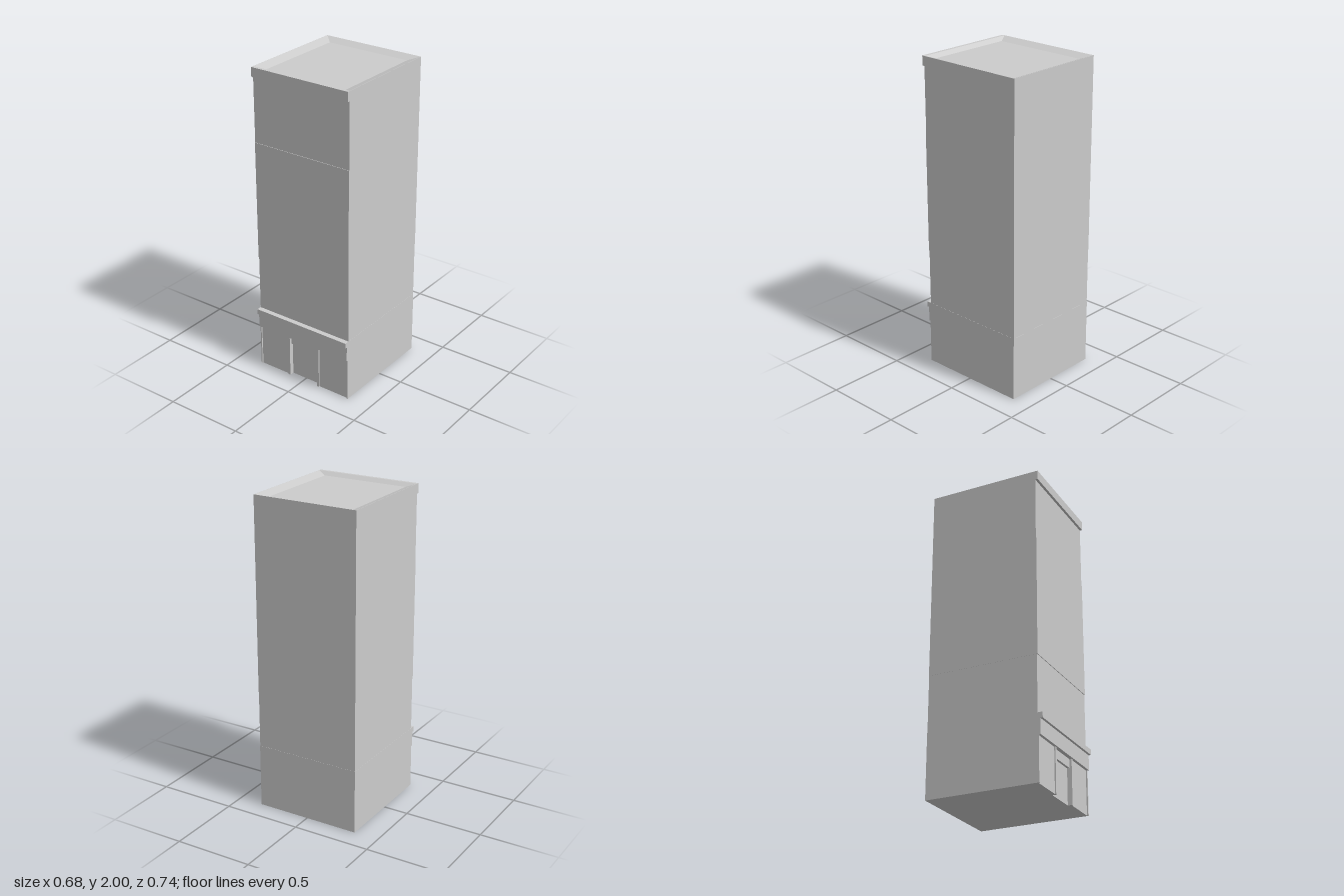
import * as THREE from 'three';

const material = new THREE.MeshStandardMaterial({ color: 0xcccccc, flatShading: true });
const W = 0.34, BACK = -0.37;

export function createModel() {
  const model = new THREE.Group();

  function add(name, geometry) {
    const mesh = new THREE.Mesh(geometry, material);
    mesh.name = name;
    model.add(mesh);
  }

  // Box given by its limits on each axis
  function block(name, x0, x1, y0, y1, z0, z1) {
    const g = new THREE.BoxGeometry(x1 - x0, y1 - y0, z1 - z0);
    g.translate((x0 + x1) / 2, (y0 + y1) / 2, (z0 + z1) / 2);
    add(name, g);
  }

  // Ground floor: plan outline with pilasters, shallow bays and a door recess
  const half = [[0.105, 0.315], [0.105, 0.345], [0.12, 0.345], [0.12, 0.337],
    [0.332, 0.337], [0.332, 0.345], [W, 0.345], [W, BACK]];
  const outline = [...half, ...half.map(([x, z]) => [-x, z]).reverse()];
  const plan = new THREE.Shape(outline.map(([x, z]) => new THREE.Vector2(x, -z)));
  const ground = new THREE.ExtrudeGeometry(plan, { depth: 0.28, bevelEnabled: false });
  ground.rotateX(-Math.PI / 2);
  add('groundFloor', ground);
  block('doorTransom', -0.105, 0.105, 0.225, 0.28, 0.31, 0.33);

  // Frieze and projecting ledge above the entrance
  block('frieze', -W, W, 0.28, 0.375, BACK, 0.355);
  block('ledge', -W, W, 0.375, 0.41, BACK, 0.37);

  // Storeys, stepping slightly at the seams
  block('lowerStorey', -W + 0.001, W - 0.001, 0.41, 0.77, BACK + 0.001, 0.338);
  block('middleStorey', -W, W, 0.77, 1.53, BACK, 0.342);
  block('upperStorey', -W, W, 1.53, 1.94, BACK, 0.339);

  // Top band with a shallow dished roof, built from rectangular rings
  const rings = [
    [W, BACK, 0.355, 1.94],
    [W, BACK, 0.355, 2],
    [W - 0.002, BACK + 0.002, 0.336, 2],
    [0.28, -0.315, 0.305, 1.98],
  ];
  const positions = [], index = [];
  for (const [x, z0, z1, y] of rings) {
    positions.push(-x, y, z1, x, y, z1, x, y, z0, -x, y, z0);
  }
  for (let r = 0; r < rings.length - 1; r++) {
    for (let i = 0; i < 4; i++) {
      const a = r * 4 + i, b = r * 4 + (i + 1) % 4;
      index.push(a, b, b + 4, a, b + 4, a + 4);
    }
  }
  const last = (rings.length - 1) * 4;
  index.push(last, last + 1, last + 2, last, last + 2, last + 3, 0, 2, 1, 0, 3, 2);
  const roof = new THREE.BufferGeometry();
  roof.setAttribute('position', new THREE.Float32BufferAttribute(positions, 3));
  roof.setIndex(index);
  const flatRoof = roof.toNonIndexed();
  flatRoof.computeVertexNormals();
  add('corniceAndRoof', flatRoof);

  return model;
}
